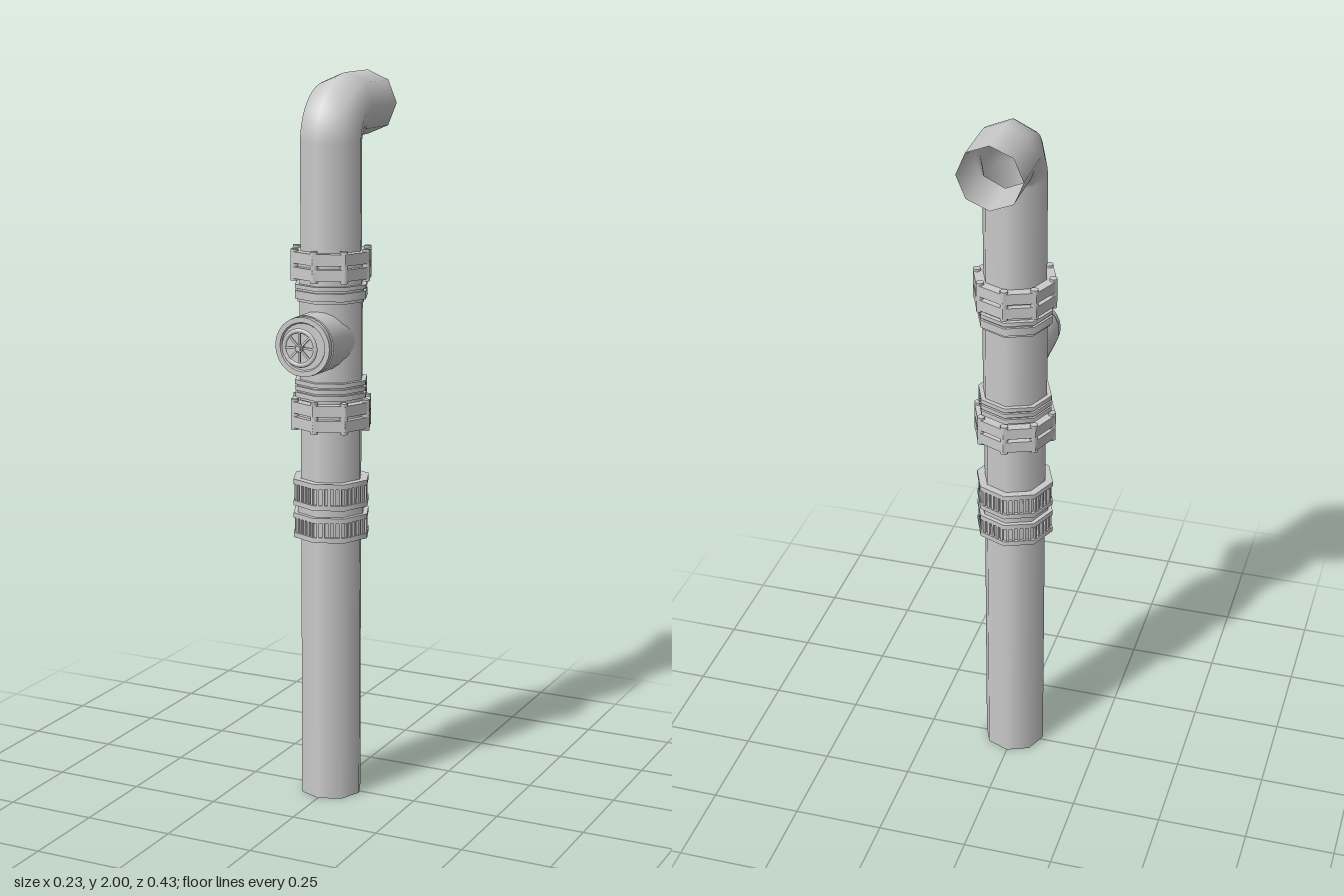
import * as THREE from 'three';

const PIPE_R = 0.087, AXIS_Z = 0.012, SIDES = 8;

export function createModel() {
  const model = new THREE.Group();
  const smooth = new THREE.MeshStandardMaterial({ color: 0xcccccc, side: THREE.DoubleSide });
  const flat = new THREE.MeshStandardMaterial({ color: 0xcccccc, flatShading: true });

  const add = (parent, name, geometry, x = 0, y = 0, z = 0, material = smooth) => {
    const mesh = new THREE.Mesh(geometry, material);
    mesh.name = name;
    mesh.position.set(x, y, z);
    parent.add(mesh);
    return mesh;
  };
  const group = (parent, name, y = 0, z = 0) => {
    const g = new THREE.Group();
    g.name = name;
    g.position.set(0, y, z);
    parent.add(g);
    return g;
  };
  // Upright cylinder between two heights
  const drum = (parent, name, r, y0, y1, open = false, sides = SIDES, material = smooth) =>
    add(parent, name, new THREE.CylinderGeometry(r, r, y1 - y0, sides, 1, open), 0, (y0 + y1) / 2, 0, material);
  // Cylinder along z between two depths
  const barrel = (parent, name, r, z0, z1, sides, open = false) =>
    add(parent, name, new THREE.CylinderGeometry(r, r, z1 - z0, sides, 1, open).rotateX(Math.PI / 2), 0, 0, (z0 + z1) / 2);

  // Main pipe with a bend to the back, open at both ends
  const pipe = group(model, 'pipe', 0, AXIS_Z);
  const bendR = 0.09, bendY = 2 - PIPE_R - bendR;
  drum(pipe, 'riser', PIPE_R, 0, bendY, true);
  add(pipe, 'elbow', new THREE.TorusGeometry(bendR, PIPE_R, SIDES, 12, Math.PI / 2).rotateY(-Math.PI / 2), 0, bendY, -bendR);
  const outlet = group(pipe, 'outlet', 2 - PIPE_R);
  barrel(outlet, 'outletPipe', PIPE_R, -0.214 - AXIS_Z, -bendR, SIDES, true);
  drum(pipe, 'teeSleeve', 0.09, 1.13, 1.46, true);

  // Bolted flange pairs
  for (const [name, y] of [['lowerFlange', 1.092], ['upperFlange', 1.5]]) {
    const flange = group(model, name, y, AXIS_Z);
    drum(flange, 'bottomPlate', 0.115, -0.036, -0.005, false, SIDES, flat);
    drum(flange, 'topPlate', 0.115, 0.005, 0.036, false, SIDES, flat);
    drum(flange, 'gasket', 0.098, -0.005, 0.005);
    for (let i = 0; i < SIDES; i++) {
      const a = i * Math.PI * 2 / SIDES;
      add(flange, 'bolt', new THREE.CylinderGeometry(0.011, 0.011, 0.085, 8),
        0.104 * Math.sin(a), 0, 0.104 * Math.cos(a));
    }
  }

  // Thin collar rings beside the flanges
  const collars = group(model, 'collars', 0, AXIS_Z);
  for (const [r, y0, y1] of [
    [0.103, 1.139, 1.153], [0.103, 1.158, 1.17], [0.103, 1.175, 1.187], [0.096, 1.139, 1.187],
    [0.103, 1.408, 1.43], [0.103, 1.436, 1.447], [0.096, 1.4, 1.447],
  ]) drum(collars, 'collarRing', r, y0, y1);

  // Ribbed coupling: two drums, each between a pair of lips
  const coupling = group(model, 'coupling', 0, AXIS_Z);
  drum(coupling, 'couplingWaist', 0.096, 0.76, 0.9);
  for (const [y0, y1] of [[0.747, 0.816], [0.837, 0.911]]) {
    drum(coupling, 'lowerLip', 0.109, y0, y0 + 0.014);
    drum(coupling, 'upperLip', 0.109, y1 - 0.014, y1);
    drum(coupling, 'gripDrum', 0.1, y0, y1);
    // Ribs lie along each flat side
    const apothem = 0.1 * Math.cos(Math.PI / SIDES);
    const halfSide = 0.1 * Math.sin(Math.PI / SIDES);
    for (let s = 0; s < SIDES; s++) {
      const a = (s + 0.5) * Math.PI * 2 / SIDES;
      for (let k = 0; k < 5; k++) {
        const t = ((k + 0.5) / 5 * 2 - 1) * halfSide;
        const rib = add(coupling, 'rib', new THREE.BoxGeometry(0.007, y1 - y0 - 0.02, 0.012),
          apothem * Math.sin(a) + t * Math.cos(a), (y0 + y1) / 2,
          apothem * Math.cos(a) - t * Math.sin(a), flat);
        rib.rotation.y = a;
      }
    }
  }

  // Side branch facing the front
  const branch = group(model, 'branch', 1.298);
  barrel(branch, 'branchPipe', 0.0815, AXIS_Z, 0.165, 24);
  barrel(branch, 'branchGroove', 0.073, 0.16, 0.175, 24);
  const capProfile = [[0, 0.17], [0.08, 0.17], [0.08, 0.17], [0.08, 0.186], [0.08, 0.186], [0.066, 0.186],
    [0.066, 0.186], [0.063, 0.18], [0.063, 0.18], [0, 0.18]].map(([r, z]) => new THREE.Vector2(r, z));
  add(branch, 'branchCap', new THREE.LatheGeometry(capProfile, 24).rotateX(Math.PI / 2));

  // Valve handwheel
  const wheel = group(branch, 'handwheel');
  barrel(wheel, 'stem', 0.005, 0.178, 0.21, 10);
  const rim = add(wheel, 'rim', new THREE.TorusGeometry(0.046, 0.0065, 8, 28), 0, 0, 0.201);
  rim.scale.z = 0.7;
  barrel(wheel, 'hub', 0.011, 0.196, 0.207, 12);
  barrel(wheel, 'hubNut', 0.008, 0.205, 0.213, 6);
  for (let i = 0; i < 8; i++) {
    const spoke = add(wheel, 'spoke', new THREE.BoxGeometry(0.038, 0.006, 0.005).translate(0.026, 0, 0), 0, 0, 0.201, flat);
    spoke.rotation.z = i * Math.PI / 4;
  }
  return model;
}
